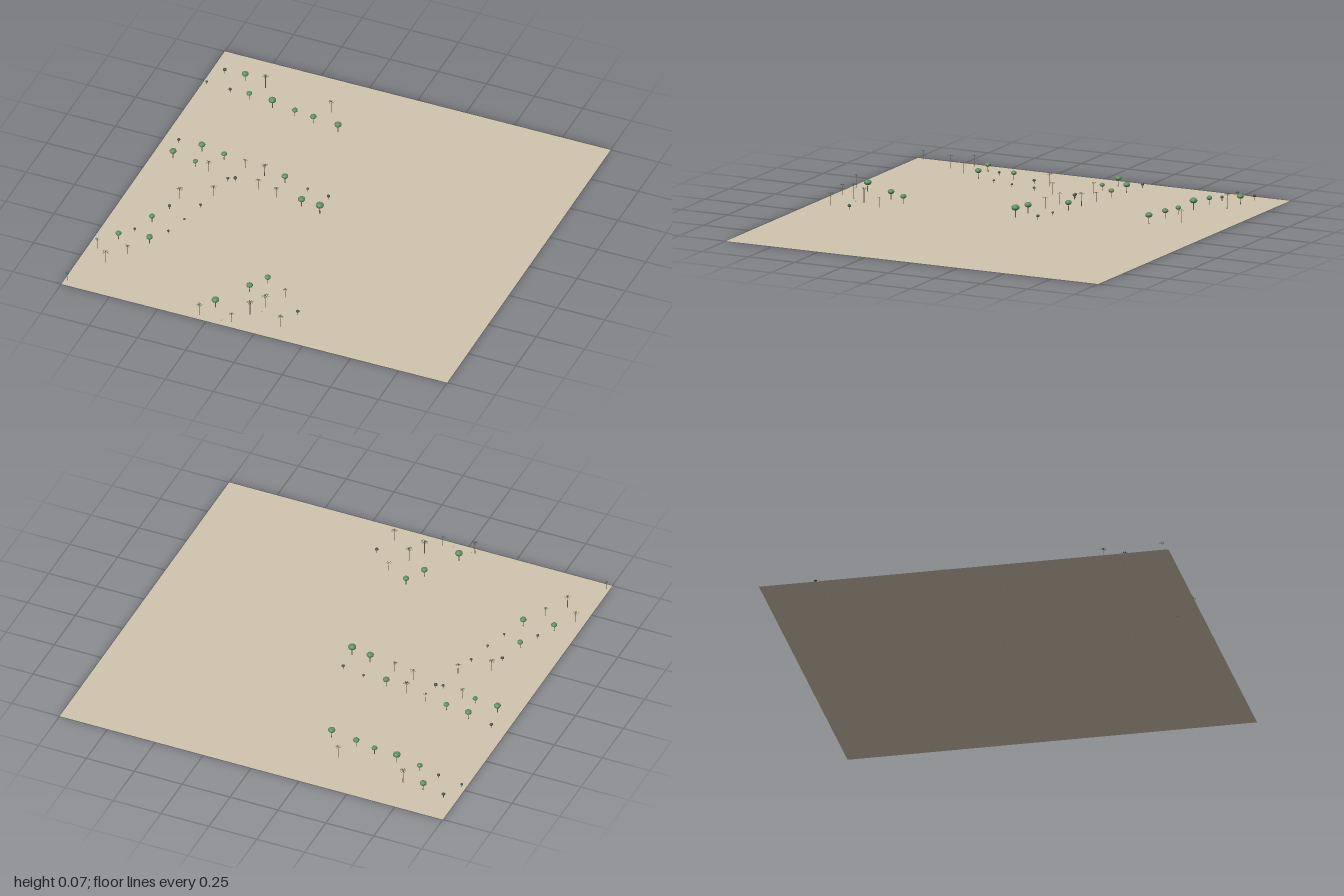
import * as THREE from 'three';
import { mergeGeometries } from 'three/addons/utils/BufferGeometryUtils.js';

// Each row: x, z, crown width
const ROUND_TREES = [
  [-0.82, -0.825, 0.033], [-0.745, -0.697, 0.028], [-0.617, -0.678, 0.037], [-0.493, -0.66, 0.028],
  [-0.39, -0.643, 0.031], [-0.254, -0.625, 0.035], [-0.792, -0.229, 0.033], [-0.669, -0.21, 0.028],
  [-0.899, -0.128, 0.033], [-0.774, -0.107, 0.025], [-0.33, -0.154, 0.032], [-0.184, -0.013, 0.035],
  [-0.083, 0.003, 0.039], [-0.794, 0.378, 0.028], [-0.888, 0.566, 0.029], [-0.738, 0.54, 0.032],
  [-0.095, 0.611, 0.03], [-0.149, 0.705, 0.032], [-0.251, 0.883, 0.037],
];
const PALMS = [
  [-0.709, -0.811, 0.043], [-0.345, -0.755, 0.037], [-0.551, -0.189, 0.028], [-0.441, -0.167, 0.038],
  [-0.428, -0.057, 0.033], [-0.701, -0.097, 0.033], [-0.322, -0.033, 0.032], [-0.604, 0.074, 0.033],
  [-0.743, 0.159, 0.037], [-0.953, 0.672, 0.033], [-0.872, 0.76, 0.038], [-0.805, 0.656, 0.028],
  [-0.985, 0.963, 0.026], [0.024, 0.679, 0.028], [-0.032, 0.79, 0.042], [-0.078, 0.868, 0.043],
  [0.096, 0.903, 0.037], [-0.134, 0.959, 0.03], [-0.297, 0.968, 0.038],
];
const SHRUBS = [
  [-0.933, -0.841, 0.018], [-0.979, -0.728, 0.013], [-0.85, -0.711, 0.016], [-0.92, -0.248, 0.016],
  [-0.204, -0.136, 0.012], [-0.088, -0.115, 0.016], [-0.586, -0.06, 0.015], [-0.553, -0.072, 0.018],
  [-0.625, 0.182, 0.014], [-0.757, 0.25, 0.016], [-0.652, 0.315, 0.012], [-0.687, 0.43, 0.012],
  [-0.84, 0.481, 0.014], [0.133, 0.783, 0.017],
];
const GRASS = [[-0.155, 0.77, 0.008], [-0.03, 0.835, 0.008], [-0.182, 0.968, 0.008], [-0.28, 0.968, 0.008]];

const material = (color, side = THREE.FrontSide) =>
  new THREE.MeshStandardMaterial({ color, side, flatShading: true });

// Ring of tapered, drooping blades with an overall width of 1
function frondRing(count, width, rise, droop) {
  const blades = [];
  for (let i = 0; i < count; i++) {
    const blade = new THREE.PlaneGeometry(1, 1, 3, 1);
    const p = blade.attributes.position;
    for (let k = 0; k < p.count; k++) {
      const t = p.getX(k) + 0.5;
      const half = width * (0.35 + 1.3 * t) * (1 - t * t);
      p.setXYZ(k, 0.5 * t, rise * t - droop * t * t, -Math.sign(p.getY(k)) * half);
    }
    blade.rotateY((i / count) * Math.PI * 2);
    blade.computeVertexNormals();
    blades.push(blade);
  }
  return mergeGeometries(blades);
}

export function createModel() {
  const model = new THREE.Group();
  const bark = material(0x6b5a45);
  const leaf = material(0x5f8c62);
  const shrubLeaf = material(0x3f5240);
  const frond = material(0x4c5a43, THREE.DoubleSide);

  const stem = new THREE.CylinderGeometry(0.7, 1, 1, 6).translate(0, 0.5, 0);
  const ball = new THREE.IcosahedronGeometry(0.5, 2);
  const palmTop = frondRing(8, 0.05, 0.16, 0.28);
  const tuft = frondRing(5, 0.05, 1.0, 0.2);

  const add = (parent, name, geometry, mat, y, sx, sy) => {
    const mesh = new THREE.Mesh(geometry, mat);
    mesh.name = name;
    mesh.position.y = y;
    mesh.scale.set(sx, sy, sx);
    parent.add(mesh);
  };

  const plant = (name, spots, build) => spots.forEach(([x, z, w], i) => {
    const group = new THREE.Group();
    group.name = name;
    group.position.set(x, 0, z);
    group.rotation.y = i * 1.3;
    build(group, w);
    model.add(group);
  });

  // Sandy ground sheet
  const ground = new THREE.Mesh(new THREE.PlaneGeometry(2, 2).rotateX(-Math.PI / 2),
    material(0xd0c4ae, THREE.DoubleSide));
  ground.name = 'ground';
  model.add(ground);

  // Round trees: slim trunk under a slightly flattened crown
  plant('roundTree', ROUND_TREES, (g, w) => {
    add(g, 'trunk', stem, bark, 0, w * 0.07, w * 1.1);
    add(g, 'crown', ball, leaf, w * 1.25, w, w * 0.75);
  });

  // Palms: tall thin trunk with a star of fronds
  plant('palm', PALMS, (g, w) => {
    add(g, 'trunk', stem, bark, 0, w * 0.045, w * 1.7);
    add(g, 'fronds', palmTop, frond, w * 1.7, w, w);
  });

  // Shrubs: small dark crowns on short stems
  plant('shrub', SHRUBS, (g, w) => {
    add(g, 'stem', stem, bark, 0, w * 0.1, w * 1.1);
    add(g, 'foliage', ball, shrubLeaf, w * 1.2, w, w * 0.8);
  });

  // Tiny grass tufts
  plant('grassTuft', GRASS, (g, w) => add(g, 'blades', tuft, frond, 0, w, w));

  return model;
}
